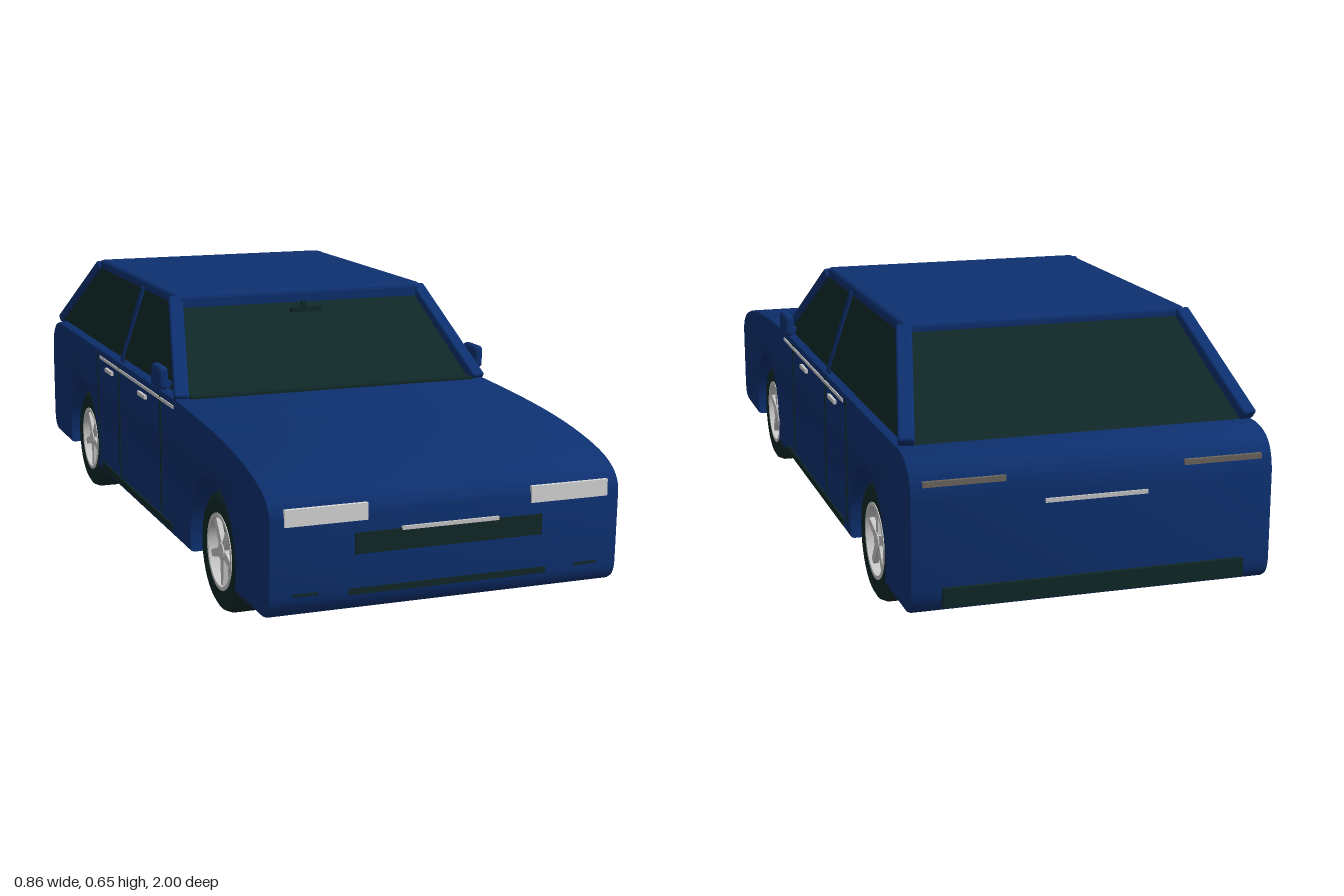
import * as THREE from 'three';
import { toCreasedNormals } from 'three/addons/utils/BufferGeometryUtils.js';
import { RoundedBoxGeometry } from 'three/addons/geometries/RoundedBoxGeometry.js';

const material = (name, color, side = THREE.FrontSide) => {
  const m = new THREE.MeshStandardMaterial({ color, side });
  m.name = name;
  return m;
};

export function createModel() {
  const paint = material('bluePaint', 0x0d3070);
  const dark = material('darkTrim', 0x102828);
  const glass = material('darkGlass', 0x102828, THREE.DoubleSide);
  const chrome = material('chrome', 0xc8c8c8);
  const lamp = material('headlightWhite', 0xdadada);
  const rimGrey = material('rimGrey', 0x77797c);
  const tailGrey = material('tailLampGrey', 0x6e6660);

  const car = new THREE.Group();
  car.name = 'car';
  const add = (name, geo, mat, parent = car) => {
    const mesh = new THREE.Mesh(geo, mat);
    mesh.name = name;
    parent.add(mesh);
    return mesh;
  };
  const box = (name, mat, w, h, d, x, y, z, parent) => {
    const mesh = add(name, new THREE.BoxGeometry(w, h, d), mat, parent);
    mesh.position.set(x, y, z);
    return mesh;
  };
  // Square bar between two points
  const beam = (name, mat, a, b, w, h) => {
    const p = new THREE.Vector3(...a), q = new THREE.Vector3(...b);
    const mesh = add(name, new RoundedBoxGeometry(w, h, p.distanceTo(q), 2, 0.006), mat);
    mesh.position.copy(p).add(q).multiplyScalar(0.5);
    mesh.lookAt(q);
    return mesh;
  };
  // Four-cornered pane
  const pane = (name, a, b, c, d) => {
    const g = new THREE.BufferGeometry();
    g.setAttribute('position', new THREE.Float32BufferAttribute([a, b, c, d].flat(), 3));
    g.setIndex([0, 1, 2, 0, 2, 3]);
    g.computeVertexNormals();
    return add(name, g, glass);
  };

  // Body: side profile with wheel arches, extruded across the width
  const wheelZ = 0.605, archR = 0.166, archY = 0.145, floorY = 0.098;
  const dip = Math.asin((archY - floorY) / archR);
  const s = new THREE.Shape();
  s.moveTo(-0.94, floorY);
  s.lineTo(-wheelZ - archR * Math.cos(dip), floorY);
  s.absarc(-wheelZ, archY, archR, Math.PI + dip, -dip, true);
  s.lineTo(wheelZ - archR * Math.cos(dip), floorY);
  s.absarc(wheelZ, archY, archR, Math.PI + dip, -dip, true);
  s.lineTo(0.94, floorY);
  s.quadraticCurveTo(0.988, 0.098, 0.99, 0.15);
  s.lineTo(0.994, 0.31);
  s.bezierCurveTo(0.99, 0.365, 0.92, 0.385, 0.82, 0.403);
  s.bezierCurveTo(0.68, 0.428, 0.5, 0.434, 0.33, 0.44);
  s.lineTo(-0.89, 0.44);
  s.bezierCurveTo(-0.96, 0.435, -0.982, 0.405, -0.988, 0.35);
  s.lineTo(-0.988, 0.15);
  s.quadraticCurveTo(-0.985, 0.098, -0.94, floorY);
  const bevel = 0.008, halfW = 0.408;
  const bodyGeo = new THREE.ExtrudeGeometry(s, {
    depth: 2 * (halfW - bevel), curveSegments: 20,
    bevelSize: bevel, bevelThickness: bevel, bevelOffset: -bevel, bevelSegments: 2,
  });
  bodyGeo.translate(0, 0, -(halfW - bevel));
  bodyGeo.rotateY(-Math.PI / 2);
  add('body', toCreasedNormals(bodyGeo, 0.6), paint);
  box('floorPanel', dark, 0.7, 0.006, 0.76, 0, 0.096, 0);

  // Cabin: roof, pillars and glass
  const roof = add('roof', new RoundedBoxGeometry(0.675, 0.032, 0.75, 3, 0.013), paint);
  roof.position.set(0, 0.639, -0.285);
  pane('windscreen', [-0.39, 0.442, 0.31], [0.39, 0.442, 0.31], [0.33, 0.645, 0.07], [-0.33, 0.645, 0.07]);
  pane('rearWindow', [0.39, 0.442, -0.885], [-0.39, 0.442, -0.885], [-0.33, 0.645, -0.645], [0.33, 0.645, -0.645]);
  box('windscreenHeader', paint, 0.65, 0.022, 0.03, 0, 0.633, 0.085);
  box('wiperCowl', dark, 0.74, 0.008, 0.035, 0, 0.441, 0.322);
  box('interiorMirror', dark, 0.08, 0.012, 0.01, 0, 0.606, 0.125);
  box('mirrorStem', dark, 0.012, 0.014, 0.01, 0, 0.618, 0.11);

  for (const [side, k] of [['left', 1], ['right', -1]]) {
    pane(side + 'SideGlass', [k * 0.397, 0.452, 0.29], [k * 0.397, 0.452, -0.87],
      [k * 0.335, 0.638, -0.645], [k * 0.335, 0.638, 0.075]);
    beam(side + 'FrontPillar', paint, [k * 0.39, 0.438, 0.325], [k * 0.328, 0.643, 0.075], 0.036, 0.026);
    beam(side + 'RearPillar', paint, [k * 0.39, 0.45, -0.895], [k * 0.328, 0.643, -0.648], 0.036, 0.026);
    beam(side + 'MiddlePillar', paint, [k * 0.398, 0.44, -0.188], [k * 0.335, 0.64, -0.188], 0.026, 0.012);

    // Door seams, sill, trim and handles
    for (const z of [0.205, -0.19, -0.418])
      box(side + 'DoorSeam', dark, 0.006, 0.3, 0.008, k * 0.407, 0.28, z);
    box(side + 'Sill', dark, 0.008, 0.018, 0.68, k * 0.408, 0.118, -0.04);
    box(side + 'BeltTrim', chrome, 0.008, 0.008, 0.71, k * 0.407, 0.42, -0.035);
    for (const z of [0.05, -0.282])
      box(side + 'DoorHandle', chrome, 0.009, 0.01, 0.068, k * 0.411, 0.398, z);

    // Door mirror
    const mirror = add(side + 'DoorMirror', new RoundedBoxGeometry(0.026, 0.057, 0.075, 3, 0.011), paint);
    mirror.position.set(k * 0.418, 0.481, 0.235);
    box(side + 'MirrorArm', paint, 0.05, 0.014, 0.03, k * 0.396, 0.462, 0.24);

    // Lamps
    box(side + 'Headlight', lamp, 0.185, 0.037, 0.009, k * 0.2825, 0.32, 0.993);
    box(side + 'FrontSlot', dark, 0.055, 0.006, 0.008, k * 0.3275, 0.152, 0.989);
    box(side + 'TailLamp', tailGrey, 0.18, 0.012, 0.009, k * 0.29, 0.385, -0.982);
  }

  // Nose and tail details
  box('grille', dark, 0.435, 0.046, 0.009, 0, 0.252, 0.992);
  box('grilleTrim', chrome, 0.225, 0.008, 0.009, 0, 0.276, 0.995);
  box('lowerIntake', dark, 0.46, 0.014, 0.009, 0, 0.147, 0.988);
  box('rearBumper', dark, 0.68, 0.042, 0.016, 0, 0.139, -0.99);
  box('tailTrim', chrome, 0.23, 0.009, 0.009, 0, 0.33, -0.988);

  // Wheels, built around the y axis with the outer face at +y
  const lathe = (pts) => toCreasedNormals(
    new THREE.LatheGeometry(pts.map(([r, y]) => new THREE.Vector2(r, y)), 40), 0.7);
  const tyreGeo = lathe([[0.088, -0.042], [0.122, -0.045], [0.134, -0.038], [0.14, -0.024],
    [0.14, 0.024], [0.134, 0.038], [0.122, 0.045], [0.088, 0.042], [0.088, -0.042]]);
  const rimGeo = lathe([[0.08, -0.043], [0.089, -0.043], [0.089, 0.044], [0.08, 0.044], [0.08, -0.043]]);
  const discGeo = new THREE.CylinderGeometry(0.081, 0.081, 0.04, 40);
  const hubGeo = new THREE.CylinderGeometry(0.02, 0.022, 0.03, 20);
  // Tapered spoke
  const spokeShape = new THREE.Shape([[-0.011, 0.01], [0.011, 0.01], [0.008, 0.083], [-0.008, 0.083]]
    .map(([x, y]) => new THREE.Vector2(x, y)));
  const spokeGeo = new THREE.ExtrudeGeometry(spokeShape, { depth: 0.012, bevelEnabled: false });
  spokeGeo.rotateX(-Math.PI / 2);

  for (const k of [1, -1]) for (const z of [wheelZ, -wheelZ]) {
    const wheel = new THREE.Group();
    wheel.name = (z > 0 ? 'front' : 'rear') + (k > 0 ? 'Left' : 'Right') + 'Wheel';
    add('tyre', tyreGeo, dark, wheel);
    add('rim', rimGeo, chrome, wheel);
    add('brakeDisc', discGeo, rimGrey, wheel).position.y = -0.006;
    add('hub', hubGeo, chrome, wheel).position.y = 0.025;
    for (let i = 0; i < 5; i++) {
      const spoke = add('spoke', spokeGeo, chrome, wheel);
      spoke.position.y = 0.025;
      spoke.rotation.y = i * Math.PI * 2 / 5 + Math.PI / 2;
    }
    wheel.rotation.z = -k * Math.PI / 2;
    wheel.position.set(k * 0.346, 0.142, z);
    car.add(wheel);
  }
  return car;
}
